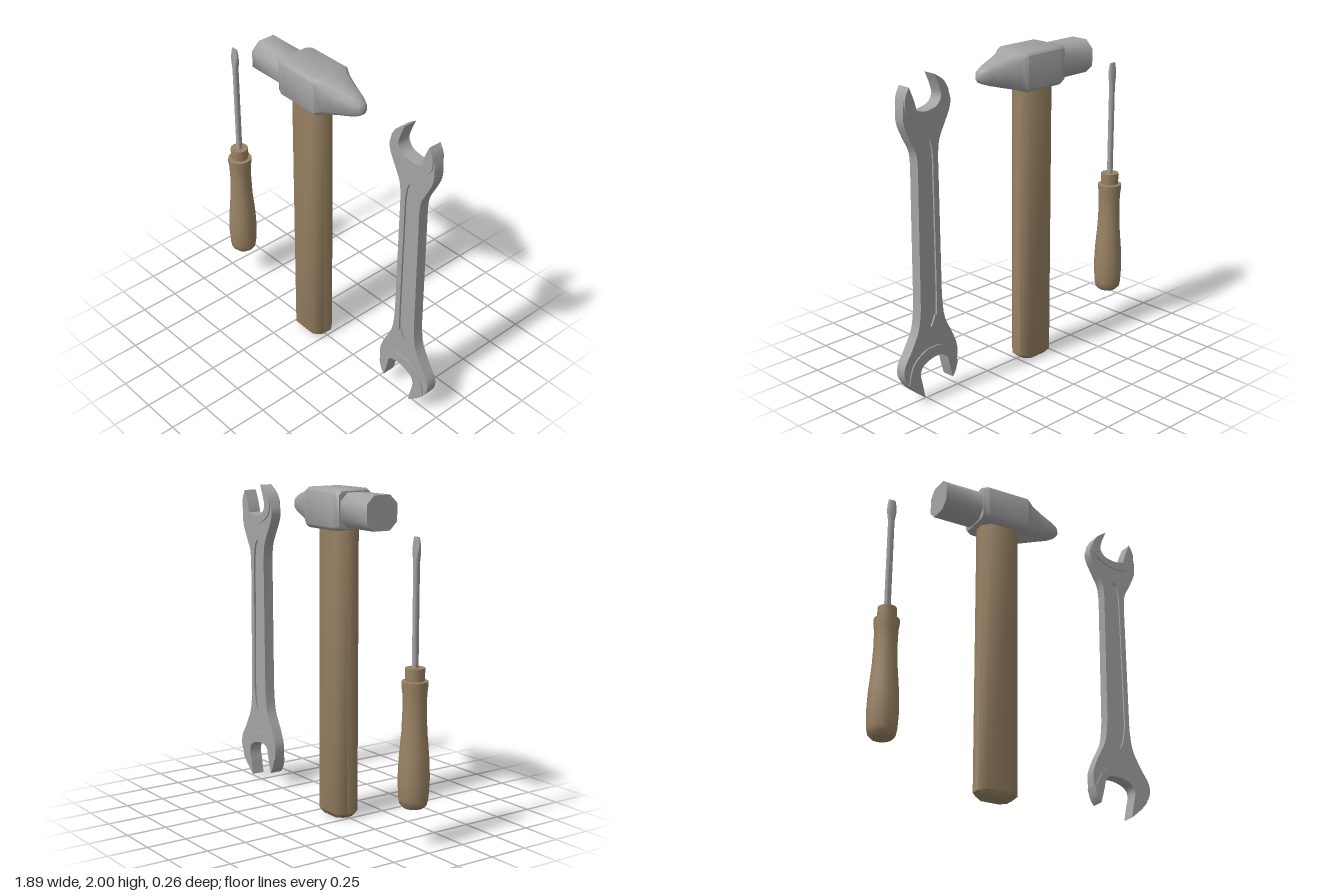
import * as THREE from 'three';
import { toCreasedNormals } from 'three/addons/utils/BufferGeometryUtils.js';

const wood = new THREE.MeshStandardMaterial({ color: 0x9a8364 });
wood.name = 'wood';
const steel = new THREE.MeshStandardMaterial({ color: 0xa4a4a4 });
steel.name = 'steel';

function part(name, geometry, material, crease = 0.85) {
  const mesh = new THREE.Mesh(toCreasedNormals(geometry, crease), material);
  mesh.name = name;
  return mesh;
}

function group(name, ...parts) {
  const g = new THREE.Group();
  g.name = name;
  g.add(...parts);
  return g;
}

// Closed loft along y through chamfered rectangles:
// [y, half width x, half depth z, chamfer x, chamfer z]
function loft(sections) {
  const pos = [], index = [], n = 8;
  for (const [y, a, b, ca, cb] of sections) {
    const p = a - ca, q = b - cb;
    const ring = [[a, -q], [a, q], [p, b], [-p, b], [-a, q], [-a, -q], [-p, -b], [p, -b]];
    for (const [x, z] of ring) pos.push(x, y, z);
  }
  const last = (sections.length - 1) * n;
  for (let k = 0; k < last; k += n) {
    for (let i = 0; i < n; i++) {
      const j = (i + 1) % n;
      index.push(k + i, k + n + i, k + j, k + j, k + n + i, k + n + j);
    }
  }
  for (let i = 1; i < n - 1; i++) {
    index.push(0, i, i + 1, last, last + i + 1, last + i);
  }
  const g = new THREE.BufferGeometry();
  g.setAttribute('position', new THREE.Float32BufferAttribute(pos, 3));
  g.setIndex(index);
  return g;
}

// Shape from smooth runs; each run starts at the end of the one before
function outline(runs, ShapeType = THREE.Shape) {
  const s = new ShapeType();
  runs.forEach((run, r) => {
    const pts = run.map(([x, y]) => new THREE.Vector2(x, y));
    if (r === 0) s.moveTo(pts[0].x, pts[0].y);
    else if (s.currentPoint.distanceTo(pts[0]) > 1e-6) s.lineTo(pts[0].x, pts[0].y);
    s.splineThru(pts.slice(1));
  });
  return s;
}

// Plate centred on z = 0
function plate(shape, half) {
  return new THREE.ExtrudeGeometry(shape, { depth: half * 2, bevelEnabled: false, curveSegments: 3 })
    .translate(0, 0, -half);
}

function hammer() {
  const handle = part('hammerHandle', loft([
    [0, 0.095, 0.062, 0.035, 0.035],
    [0.03, 0.13, 0.082, 0.045, 0.05],
    [1.8, 0.13, 0.082, 0.045, 0.05],
  ]), wood);
  handle.position.x = -0.13;

  // Striking end, square body and tapering peen, lofted along x
  const head = loft([
    [-0.545, 0.102, 0.108, 0.05, 0.052],
    [-0.292, 0.102, 0.108, 0.05, 0.052],
    [-0.291, 0.11, 0.116, 0.02, 0.022],
    [-0.255, 0.12, 0.13, 0.02, 0.022],
    [0.025, 0.12, 0.13, 0.02, 0.022],
    [0.07, 0.103, 0.11, 0.03, 0.03],
    [0.16, 0.08, 0.081, 0.03, 0.03],
    [0.25, 0.055, 0.053, 0.022, 0.022],
    [0.295, 0.035, 0.032, 0.014, 0.014],
    [0.315, 0.009, 0.009, 0.004, 0.004],
  ]).rotateZ(-Math.PI / 2);
  const headMesh = part('hammerHead', head, steel);
  headMesh.position.y = 1.88;
  return group('hammer', handle, headMesh);
}

function screwdriver() {
  const profile = [
    [0, 0.235], [0.06, 0.235], [0.08, 0.255], [0.087, 0.29], [0.093, 0.4], [0.088, 0.52],
    [0.074, 0.68], [0.069, 0.82], [0.071, 0.9], [0.077, 0.945], [0.077, 0.97],
    [0.055, 0.972], [0.057, 0.99], [0.057, 1.045], [0, 1.045],
  ].map(([x, y]) => new THREE.Vector2(x, y));
  const handle = part('screwdriverHandle', new THREE.LatheGeometry(profile, 12), wood);

  // Round shaft flaring into a flat blade
  const blade = part('screwdriverBlade', loft([
    [1.03, 0.018, 0.018, 0.0105, 0.0105],
    [1.63, 0.018, 0.018, 0.0105, 0.0105],
    [1.69, 0.027, 0.014, 0.006, 0.006],
    [1.735, 0.028, 0.009, 0.004, 0.004],
    [1.775, 0.021, 0.005, 0.002, 0.002],
  ]), steel);
  const g = group('screwdriver', handle, blade);
  g.position.x = -0.857;
  return g;
}

function wrench() {
  // Edges where the raised jaws meet the body
  const upperEdge = [[0.885, 1.86], [0.88, 1.79], [0.83, 1.73], [0.75, 1.715],
    [0.67, 1.73], [0.6, 1.77], [0.57, 1.82], [0.57, 1.87]];
  const lowerEdge = [[0.533, 0.19], [0.556, 0.215], [0.59, 0.285], [0.65, 0.33], [0.72, 0.338],
    [0.785, 0.328], [0.865, 0.275], [0.9, 0.2], [0.91, 0.14]];

  const upperJaw = outline([
    [[0.57, 1.87], [0.605, 1.925], [0.67, 1.97]],
    [[0.67, 1.97], [0.64, 1.9], [0.625, 1.84], [0.65, 1.795], [0.69, 1.777], [0.75, 1.77], [0.805, 1.785]],
    [[0.805, 1.785], [0.82, 1.84], [0.855, 1.925]],
    [[0.855, 1.925], [0.875, 1.89], [0.885, 1.86]],
    upperEdge,
  ]);
  const lowerJaw = outline([
    [[0.91, 0.14], [0.865, 0.09], [0.795, 0.03]],
    [[0.795, 0.03], [0.81, 0.11], [0.825, 0.19], [0.8, 0.24], [0.72, 0.27], [0.64, 0.265], [0.612, 0.235]],
    [[0.612, 0.235], [0.595, 0.16], [0.575, 0.09]],
    [[0.575, 0.09], [0.55, 0.13], [0.533, 0.19]],
    lowerEdge,
  ]);
  const body = outline([
    [[0.57, 1.87], [0.55, 1.81], [0.56, 1.75], [0.6, 1.67], [0.638, 1.59], [0.65, 1.5]],
    [[0.643, 0.65], [0.625, 0.5], [0.565, 0.375], [0.53, 0.28], [0.533, 0.19]],
    lowerEdge,
    [[0.91, 0.14], [0.94, 0.2], [0.935, 0.27], [0.88, 0.36], [0.825, 0.47], [0.806, 0.6]],
    [[0.8, 1.46], [0.81, 1.54], [0.85, 1.62], [0.89, 1.71], [0.896, 1.79], [0.885, 1.86]],
    upperEdge,
  ]);

  // Long recess on both faces of the shank
  const recess = (Type) => outline([
    [[0.687, 1.5], [0.7, 1.58], [0.722, 1.612], [0.75, 1.58], [0.765, 1.5]],
    [[0.774, 0.62], [0.76, 0.53], [0.73, 0.465], [0.698, 0.53], [0.682, 0.62], [0.687, 1.5]],
  ], Type);
  body.holes.push(recess(THREE.Path));

  return group('wrench',
    part('wrenchBody', plate(body, 0.034), steel, 0.6),
    part('wrenchRecess', plate(recess(THREE.Shape), 0.022), steel, 0.6),
    part('wrenchUpperJaw', plate(upperJaw, 0.042), steel, 0.6),
    part('wrenchLowerJaw', plate(lowerJaw, 0.042), steel, 0.6));
}

export function createModel() {
  return group('handTools', hammer(), screwdriver(), wrench());
}
